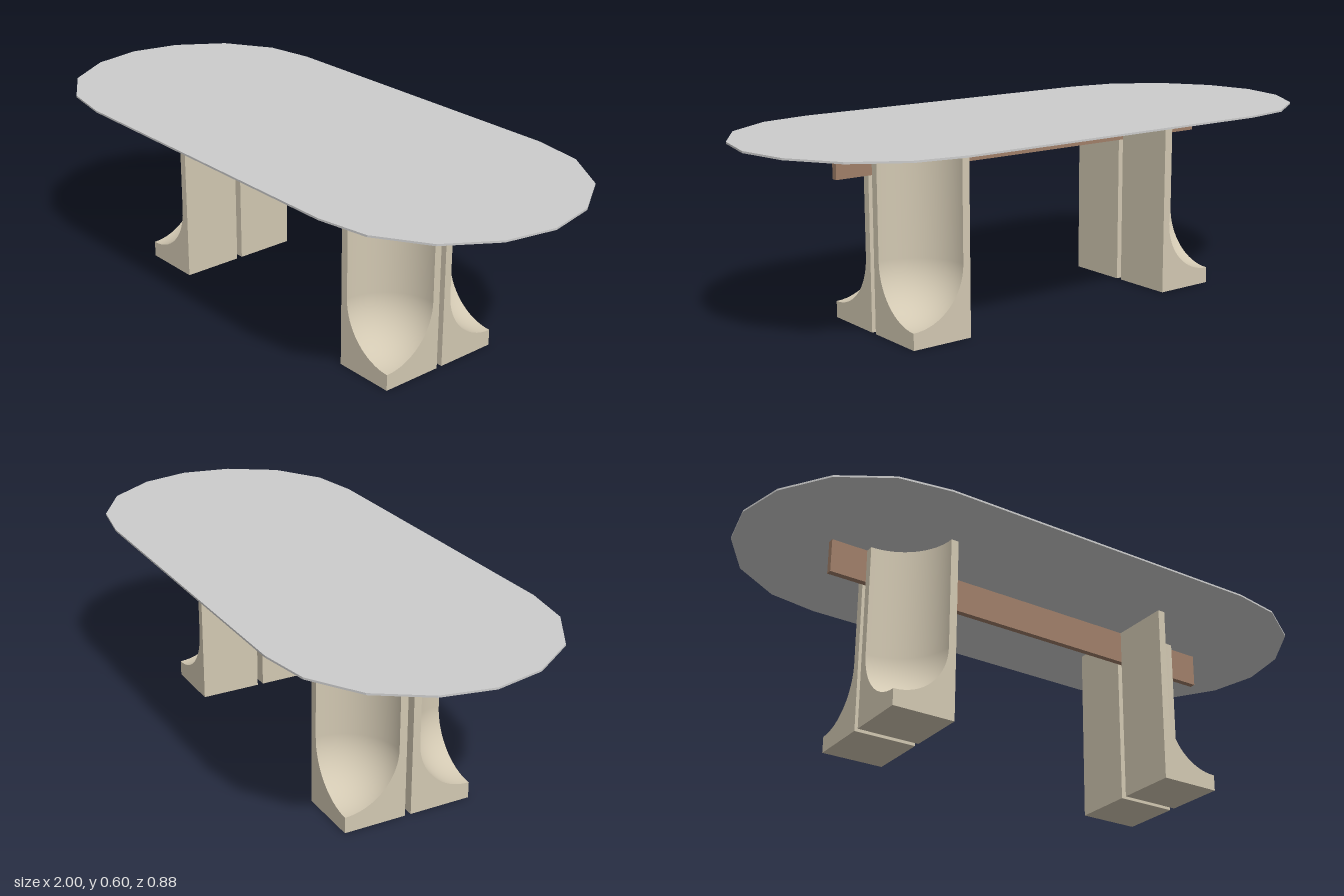
import * as THREE from 'three';
import { mergeGeometries } from 'three/addons/utils/BufferGeometryUtils.js';

const S = 0.203;        // leg block width and depth
const H = 0.594;        // leg height, underside of the top
const R = 0.178;        // scoop radius
const SCOOP_Y = 0.23;   // where the straight scoop turns into its round end

// Outer leg face with the scoop's outline cut away; side = -1 extends to -x, 1 to +x
function sidePanel(side) {
  const pts = [[S, 0], [0, 0]];
  for (let i = 0; i <= 16; i++) {
    const a = (i / 16) * Math.PI / 2;
    pts.push([R * Math.sin(a), SCOOP_Y - R * Math.cos(a)]);
  }
  pts.push([R, H], [S, H]);
  return new THREE.ShapeGeometry(new THREE.Shape(pts.map(([x, y]) => new THREE.Vector2(side * x, y))));
}

// Square block whose outer corner (the local origin) is hollowed by a round-ended scoop
function legGeometry() {
  const front = sidePanel(-1);
  const outer = sidePanel(1).rotateY(Math.PI / 2);
  const back = new THREE.PlaneGeometry(S, H).rotateY(Math.PI).translate(-S / 2, H / 2, -S);
  const inner = new THREE.PlaneGeometry(S, H).rotateY(-Math.PI / 2).translate(-S, H / 2, -S / 2);
  const bottom = new THREE.PlaneGeometry(S, S).rotateX(Math.PI / 2).translate(-S / 2, 0, -S / 2);

  const capShape = new THREE.Shape();
  capShape.moveTo(-S, 0);
  capShape.lineTo(-R, 0);
  capShape.absarc(0, 0, R, Math.PI, Math.PI / 2, true);
  capShape.lineTo(0, S);
  capShape.lineTo(-S, S);
  const cap = new THREE.ShapeGeometry(capShape, 16).rotateX(-Math.PI / 2).translate(0, H, 0);

  // Profile runs downward so the surface faces the scoop's axis
  const profile = [new THREE.Vector2(R, H)];
  for (let i = 0; i <= 16; i++) {
    const a = (i / 16) * Math.PI / 2;
    profile.push(new THREE.Vector2(R * Math.cos(a), SCOOP_Y - R * Math.sin(a)));
  }
  const scoop = new THREE.LatheGeometry(profile, 16, Math.PI, Math.PI / 2);

  return mergeGeometries([front, outer, back, inner, bottom, cap, scoop]);
}

// Elongated faceted top
function topGeometry() {
  const quarter = [[1, 0], [0.967, 0.161], [0.869, 0.313], [0.714, 0.412], [0.55, 0.44]];
  const half = [...quarter, ...quarter.slice().reverse().map(([x, z]) => [-x, z])];
  const outline = [...half, ...half.slice(1, -1).map(([x, z]) => [-x, -z])];
  const shape = new THREE.Shape(outline.map(([x, z]) => new THREE.Vector2(x, z)));
  return new THREE.ExtrudeGeometry(shape, { depth: 0.6 - H, bevelEnabled: false })
    .rotateX(-Math.PI / 2).translate(0, H, 0);
}

export function createModel() {
  const stone = new THREE.MeshStandardMaterial({ name: 'beige stone', color: 0xd2c8b2 });
  const wood = new THREE.MeshStandardMaterial({ name: 'brown wood', color: 0xa07f69 });
  const grey = new THREE.MeshStandardMaterial({ name: 'light grey', color: 0xcccccc });

  const table = new THREE.Group();
  table.name = 'table';
  const add = (name, geometry, material) => {
    const mesh = new THREE.Mesh(geometry, material);
    mesh.name = name;
    table.add(mesh);
    return mesh;
  };

  add('tableTop', topGeometry(), grey);
  add('beam', new THREE.BoxGeometry(1.426, 0.11, 0.02), wood).position.y = H - 0.055;

  // Four legs, each turned so that its scoop faces outward
  const leg = legGeometry();
  const corners = [['frontLeftLeg', 1, 1], ['backLeftLeg', 1, -1], ['backRightLeg', -1, -1], ['frontRightLeg', -1, 1]];
  corners.forEach(([name, sx, sz], i) => {
    const mesh = add(name, leg, stone);
    mesh.position.set(sx * 0.593, 0, sz * 0.213);
    mesh.rotation.y = i * Math.PI / 2;
  });
  return table;
}
